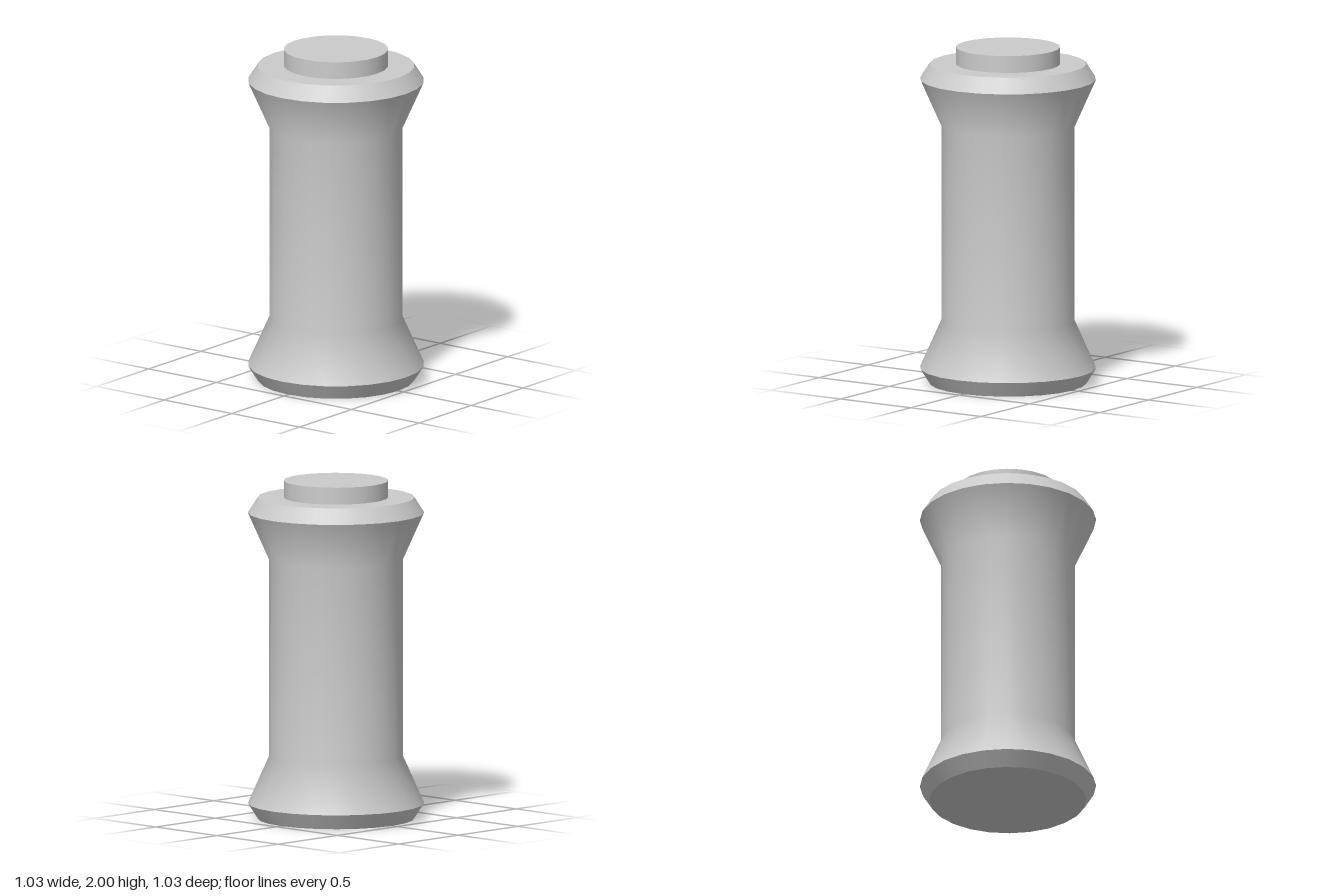
import * as THREE from 'three';

const SIDES = 24;
const material = new THREE.MeshStandardMaterial({ color: 0xcccccc });

// Turned section: smooth within one profile, sharp where two sections meet
function turned(name, profile) {
  const points = profile.map(([r, y]) => new THREE.Vector2(r, y));
  const mesh = new THREE.Mesh(new THREE.LatheGeometry(points, SIDES), material);
  mesh.name = name;
  return mesh;
}

export function createModel() {
  const group = new THREE.Group();
  group.name = 'spool';

  const rim = 0.517, edge = 0.46, neck = 0.392, knob = 0.306;

  group.add(
    // Underside and lower bevel
    turned('baseUnderside', [[0, 0], [edge, 0]]),
    turned('lowerBevel', [[edge, 0], [rim, 0.09]]),
    // Waisted body flaring out at both ends
    turned('body', [[rim, 0.09], [neck, 0.37], [neck, 1.53], [rim, 1.81]]),
    // Upper bevel and top face
    turned('upperBevel', [[rim, 1.81], [edge, 1.9]]),
    turned('topFace', [[edge, 1.9], [knob, 1.9]]),
    // Raised disc on top
    turned('knobSide', [[knob, 1.9], [knob, 2]]),
    turned('knobTop', [[knob, 2], [0, 2]]),
  );
  return group;
}
